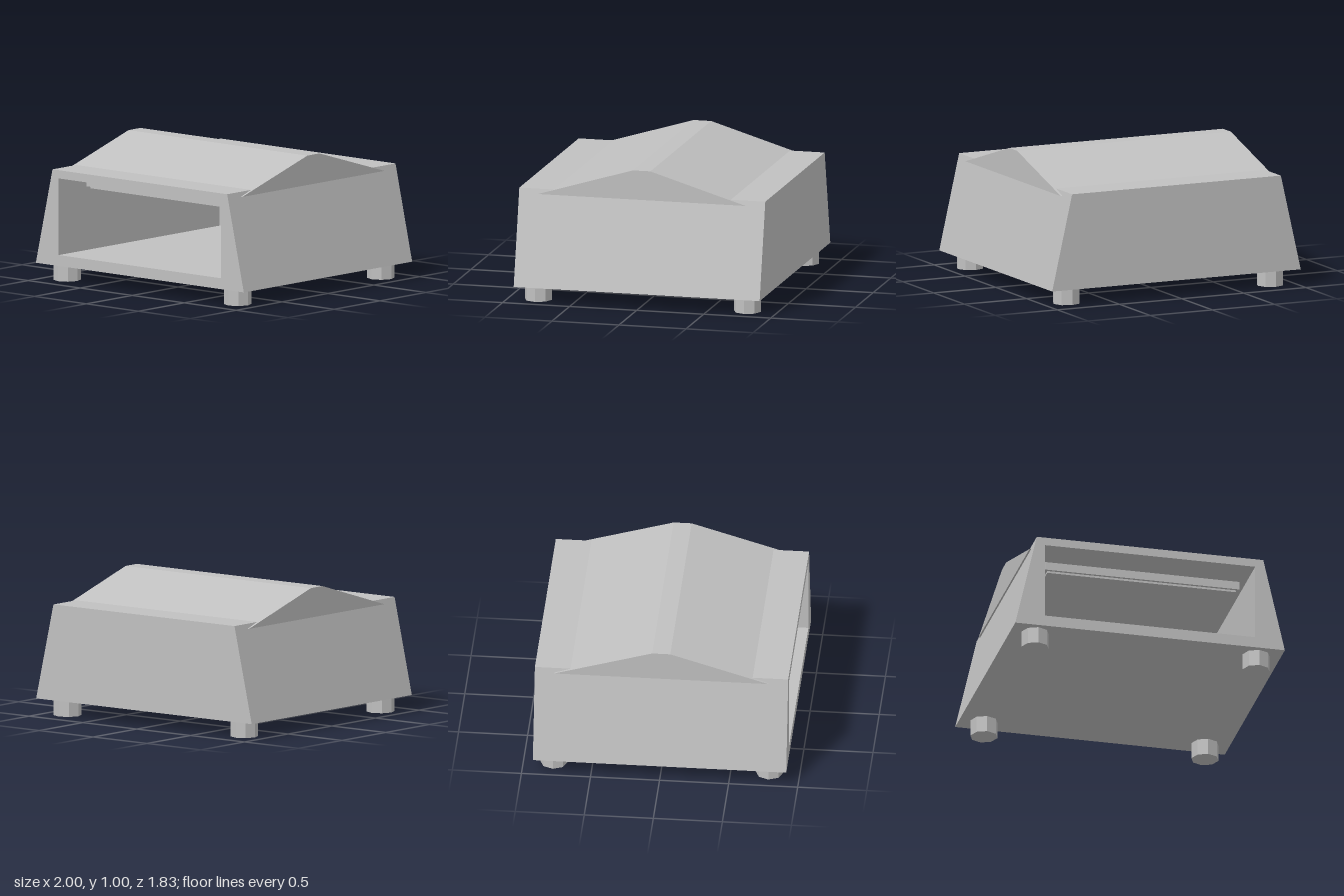
import * as THREE from 'three';

const HALF_DEPTH = 0.917;
const BACK_WALL = 0.08;

// Closed outline from [x, y] points
function outline(points, Type = THREE.Shape) {
  return new Type(points.map(([x, y]) => new THREE.Vector2(x, y)));
}

// Straight extrusion along z, starting at zStart
function prism(shape, depth, zStart) {
  const geometry = new THREE.ExtrudeGeometry(shape, { depth, bevelEnabled: false });
  return geometry.translate(0, 0, zStart);
}

export function createModel() {
  const model = new THREE.Group();
  model.name = 'shelter';
  const grey = new THREE.MeshStandardMaterial({ color: 0xc0c0c0 });
  grey.name = 'light grey';

  const add = (name, geometry, x = 0, y = 0, z = 0) => {
    const mesh = new THREE.Mesh(geometry, grey);
    mesh.name = name;
    mesh.position.set(x, y, z);
    model.add(mesh);
    return mesh;
  };

  // Tapered housing with a deep rectangular opening in the front
  const section = [[-1, 0.12], [1, 0.12], [0.84, 0.82], [-0.84, 0.82]];
  const shell = outline(section);
  shell.holes.push(outline([[-0.78, 0.2], [-0.78, 0.76], [0.78, 0.76], [0.78, 0.2]], THREE.Path));
  add('housing', prism(shell, 2 * HALF_DEPTH - BACK_WALL, BACK_WALL - HALF_DEPTH));
  add('backWall', prism(outline(section), BACK_WALL, -HALF_DEPTH));

  // Ridged roof, slightly wider than the top of the housing
  const roof = outline([[-0.775, 0.785], [0.775, 0.785], [0.065, 1], [-0.065, 1]]);
  add('roof', prism(roof, 1.72, -0.86).rotateY(Math.PI / 2));

  // Bar below the ceiling, with a thin strip under it
  add('ceilingBar', new THREE.BoxGeometry(1.44, 0.06, 0.12), 0, 0.71, 0.62);
  add('barStrip', new THREE.BoxGeometry(1.4, 0.015, 0.08), 0, 0.6725, 0.62);

  // Octagonal feet
  const foot = new THREE.CylinderGeometry(0.1, 0.1, 0.125, 8).toNonIndexed();
  foot.computeVertexNormals();
  for (const x of [-0.82, 0.82]) {
    for (const z of [-0.78, 0.78]) add('foot', foot, x, 0.0625, z);
  }
  return model;
}
